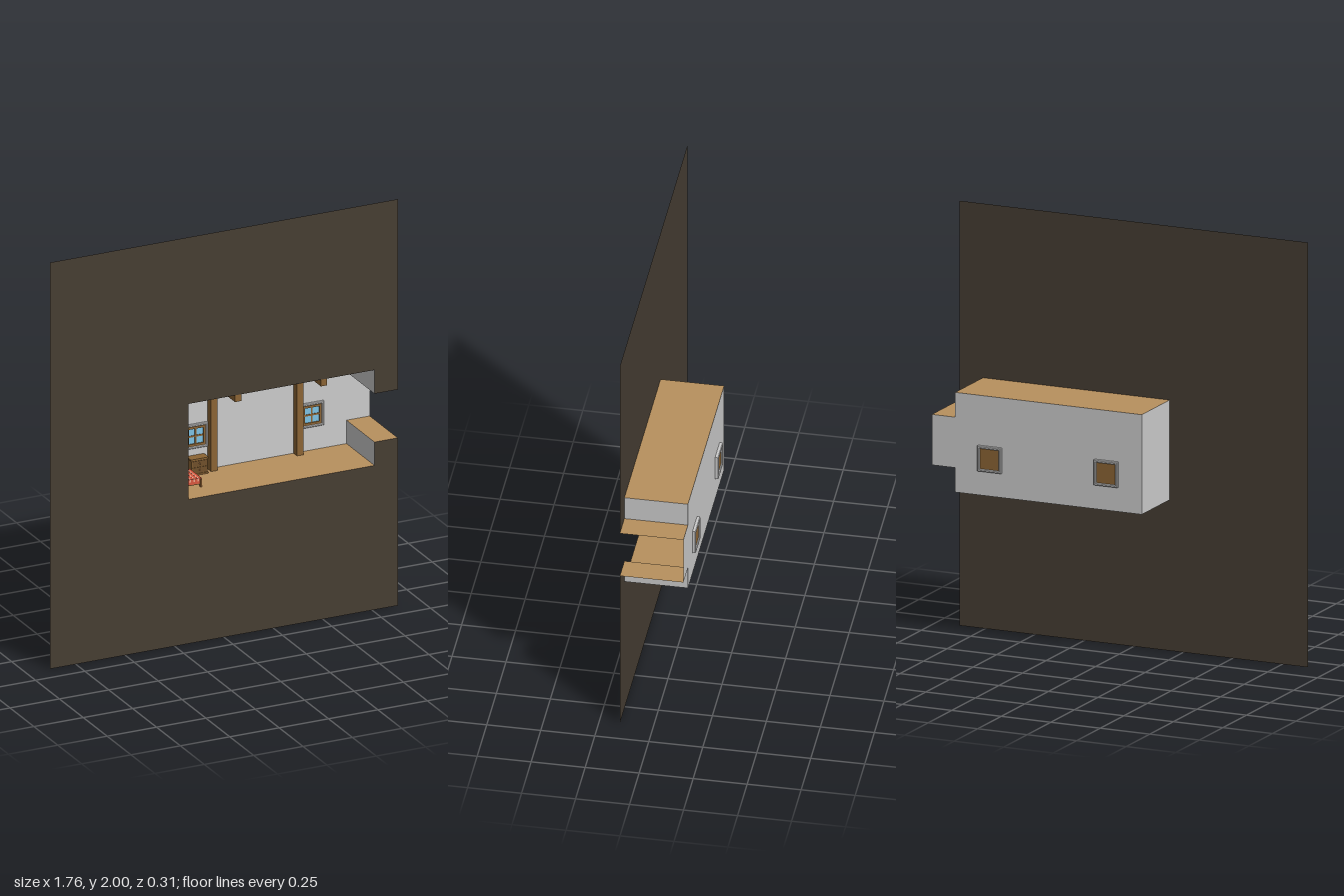
import * as THREE from 'three';

const FRONT = 0.155, BACK = -0.139;
const mat = (color, side = THREE.FrontSide) => new THREE.MeshStandardMaterial({ color, side, flatShading: true });
const grey = mat(0xcccccc), greyThin = mat(0xcccccc, THREE.DoubleSide);
const earth = mat(0x463d32, THREE.DoubleSide), planks = mat(0xb8915e, THREE.DoubleSide);
const timber = mat(0x8b6434), darkWood = mat(0x70502a), glass = mat(0x7ec3e5);
const bedWood = mat(0xa06a38), linen = mat(0xf0e6cc), red = mat(0xd9573f), pink = mat(0xeda78c);

function add(parent, name, geometry, material) {
  const m = new THREE.Mesh(geometry, material);
  m.name = name;
  parent.add(m);
  return m;
}

// Box given by its lower and upper corners
function box(parent, name, material, x0, x1, y0, y1, z0, z1) {
  const m = add(parent, name, new THREE.BoxGeometry(x1 - x0, y1 - y0, z1 - z0), material);
  m.position.set((x0 + x1) / 2, (y0 + y1) / 2, (z0 + z1) / 2);
  return m;
}

const rect = (C, x0, x1, y0, y1) =>
  new C([[x0, y0], [x1, y0], [x1, y1], [x0, y1]].map(p => new THREE.Vector2(...p)));
const poly = pts => new THREE.Shape(pts.map(p => new THREE.Vector2(...p)));

// Room outline with the side passage, from passage floor round to passage ceiling
const outline = [[0.88, 0.825], [0.762, 0.825], [0.762, 0.71], [-0.18, 0.71],
  [-0.18, 1.18], [0.762, 1.18], [0.762, 1.063], [0.88, 1.063]];
const windowX = [-0.003, 0.585], windowY = 0.885, holeHalf = 0.05;

function buildShell(root) {
  // Cut-away ground around the room
  const ground = poly([[0.88, 0], ...outline, [0.88, 2], [-0.88, 2], [-0.88, 0]]);
  add(root, 'groundSection', new THREE.ShapeGeometry(ground), earth).position.z = FRONT;

  // Back wall with window openings
  const wall = poly(outline);
  for (const x of windowX)
    wall.holes.push(rect(THREE.Path, x - holeHalf, x + holeHalf, windowY - holeHalf, windowY + holeHalf));
  add(root, 'backWall', new THREE.ShapeGeometry(wall), greyThin).position.z = BACK;

  // Floors, ceilings and side walls follow the outline
  for (let i = 0; i < outline.length - 1; i++) {
    const [ax, ay] = outline[i], [bx, by] = outline[i + 1];
    const level = ay === by;
    const strip = new THREE.PlaneGeometry(Math.hypot(bx - ax, by - ay), FRONT - BACK);
    strip.rotateX(Math.PI / 2);
    strip.rotateZ(level ? 0 : Math.PI / 2);
    const name = level ? (ay < 0.9 ? 'floor' : 'ceiling') : 'sideWall';
    add(root, name, strip, level ? planks : greyThin)
      .position.set((ax + bx) / 2, (ay + by) / 2, (FRONT + BACK) / 2);
  }
}

function buildWindow(x) {
  const g = new THREE.Group();
  g.name = 'window';
  // Bevelled surround
  const ring = rect(THREE.Shape, -0.057, 0.057, -0.057, 0.057);
  ring.holes.push(rect(THREE.Path, -0.051, 0.051, -0.051, 0.051));
  const surround = new THREE.ExtrudeGeometry(ring, {
    depth: 0.02, bevelEnabled: true, bevelThickness: 0.003, bevelSize: 0.003, bevelSegments: 1 });
  add(g, 'surround', surround, grey).position.z = -0.152;
  // Wooden frame, panes and glazing bars
  box(g, 'backing', timber, -0.048, 0.048, -0.048, 0.048, -0.148, -0.14);
  box(g, 'glass', glass, -0.04, 0.04, -0.04, 0.04, -0.141, -0.137);
  const frame = rect(THREE.Shape, -0.048, 0.048, -0.048, 0.048);
  frame.holes.push(rect(THREE.Path, -0.037, 0.037, -0.037, 0.037));
  add(g, 'frame', new THREE.ExtrudeGeometry(frame, { depth: 0.015, bevelEnabled: false }), timber).position.z = -0.146;
  box(g, 'verticalBar', timber, -0.004, 0.004, -0.037, 0.037, -0.14, -0.134);
  box(g, 'crossBar', timber, -0.037, 0.037, -0.004, 0.004, -0.14, -0.134);
  g.position.set(x, windowY, 0);
  return g;
}

function buildBed() {
  const g = new THREE.Group();
  g.name = 'bed';
  const x0 = -0.177, x1 = -0.057, z0 = -0.135, z1 = 0.045, y = 0.71;
  for (const x of [x0, x1 - 0.01]) {
    box(g, 'headPost', bedWood, x, x + 0.01, y, y + 0.068, z0, z0 + 0.01);
    box(g, 'footPost', bedWood, x, x + 0.01, y, y + 0.04, z1 - 0.01, z1);
    box(g, 'sideRail', bedWood, x + 0.002, x + 0.008, y + 0.016, y + 0.028, z0 + 0.01, z1 - 0.01);
  }
  box(g, 'headboard', bedWood, x0 + 0.01, x1 - 0.01, y + 0.02, y + 0.064, z0 + 0.002, z0 + 0.008);
  box(g, 'footboard', bedWood, x0 + 0.01, x1 - 0.01, y + 0.014, y + 0.024, z1 - 0.008, z1 - 0.002);
  box(g, 'mattress', linen, x0 + 0.009, x1 - 0.009, y + 0.02, y + 0.04, z0 + 0.01, z1 - 0.01);
  // Blanket with lengthwise stripes
  box(g, 'blanket', red, x0 + 0.003, x1 - 0.003, y + 0.018, y + 0.044, z0 + 0.06, z1 - 0.002);
  for (let i = 0; i < 5; i++) {
    const x = x0 + 0.016 + i * 0.0205;
    box(g, 'stripe', pink, x, x + 0.006, y + 0.03, y + 0.045, z0 + 0.06, z1 - 0.0015);
  }
  for (const x of [x0 + 0.014, x0 + 0.063])
    box(g, 'pillow', linen, x, x + 0.043, y + 0.04, y + 0.056, z0 + 0.014, z0 + 0.05).rotation.x = 0.2;
  return g;
}

function buildDrawers() {
  const g = new THREE.Group();
  g.name = 'drawerChest';
  box(g, 'body', timber, -0.046, 0.036, 0.716, 0.784, -0.136, -0.092);
  box(g, 'top', timber, -0.05, 0.04, 0.784, 0.791, -0.137, -0.088);
  box(g, 'plinth', timber, -0.05, 0.04, 0.711, 0.718, -0.137, -0.088);
  for (const y of [0.722, 0.753]) {
    box(g, 'drawer', darkWood, -0.041, 0.031, y, y + 0.027, -0.094, -0.089);
    const knob = add(g, 'knob', new THREE.SphereGeometry(0.004, 8, 6), bedWood);
    knob.position.set(-0.005, y + 0.0135, -0.087);
  }
  return g;
}

export function createModel() {
  const root = new THREE.Group();
  root.name = 'cutawayRoom';
  buildShell(root);
  // Posts against the back wall carrying ceiling beams
  for (const x of [0.074, 0.509]) {
    box(root, 'post', timber, x - 0.016, x + 0.016, 0.711, 1.145, -0.138, -0.1);
    box(root, 'ceilingBeam', timber, x - 0.016, x + 0.016, 1.145, 1.179, -0.138, 0.15);
  }
  for (const x of windowX) root.add(buildWindow(x));
  root.add(buildBed(), buildDrawers());
  return root;
}
